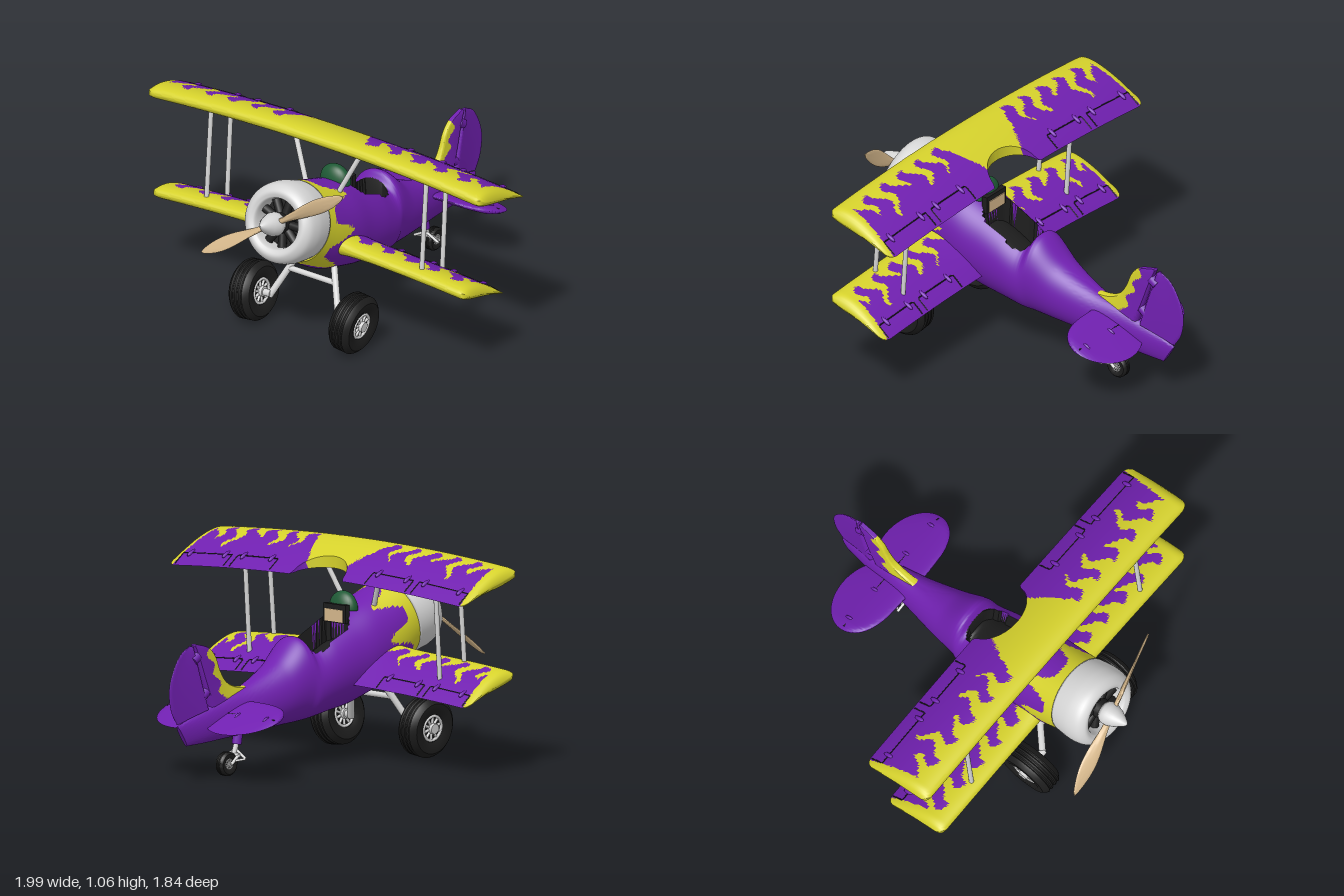
import * as THREE from 'three';
import { toCreasedNormals } from 'three/addons/utils/BufferGeometryUtils.js';

const material = (name, color) => Object.assign(new THREE.MeshStandardMaterial({ color }), { name });
const V = (x, y, z) => new THREE.Vector3(x, y, z);
const { lerp, clamp } = THREE.MathUtils;

// Closed surface from cross-section rings, with fan caps, always facing outward
function loft(nu, nv, point) {
  const pos = [], idx = [];
  for (let i = 0; i <= nu; i++)
    for (let j = 0; j < nv; j++) pos.push(...point(i / nu, j / nv));
  for (let i = 0; i < nu; i++)
    for (let j = 0; j < nv; j++) {
      const k = (j + 1) % nv, a = i * nv + j, b = i * nv + k, c = a + nv, d = b + nv;
      idx.push(a, b, d, a, d, c);
    }
  for (const end of [0, nu]) {
    const m = [0, 0, 0];
    for (let j = 0; j < nv; j++) for (let q = 0; q < 3; q++) m[q] += pos[(end * nv + j) * 3 + q] / nv;
    const centre = pos.length / 3;
    pos.push(...m);
    for (let j = 0; j < nv; j++) {
      const a = end * nv + j, b = end * nv + (j + 1) % nv;
      idx.push(centre, ...(end ? [a, b] : [b, a]));
    }
  }
  let volume = 0;
  const at = i => V(pos[i * 3], pos[i * 3 + 1], pos[i * 3 + 2]);
  for (let i = 0; i < idx.length; i += 3) volume += at(idx[i]).dot(at(idx[i + 1]).cross(at(idx[i + 2])));
  if (volume < 0) idx.reverse();
  const g = new THREE.BufferGeometry();
  g.setAttribute('position', new THREE.Float32BufferAttribute(pos, 3));
  g.setIndex(idx);
  return toCreasedNormals(g, 0.75);
}

// Sort triangles into material groups by a rule on their centre
function paint(g, count, rule) {
  const p = g.attributes.position.array, n = g.attributes.normal.array;
  const bins = Array.from({ length: count }, () => ({ p: [], n: [] }));
  for (let i = 0; i < p.length; i += 9) {
    const bin = bins[rule(...[0, 1, 2].map(q => (p[i + q] + p[i + 3 + q] + p[i + 6 + q]) / 3))];
    for (let q = i; q < i + 9; q++) { bin.p.push(p[q]); bin.n.push(n[q]); }
  }
  const out = new THREE.BufferGeometry();
  out.setAttribute('position', new THREE.Float32BufferAttribute(bins.flatMap(b => b.p), 3));
  out.setAttribute('normal', new THREE.Float32BufferAttribute(bins.flatMap(b => b.n), 3));
  let start = 0;
  bins.forEach((b, i) => { out.addGroup(start, b.p.length / 3, i); start += b.p.length / 3; });
  return out;
}

const foil = t => 10 * (0.2969 * Math.sqrt(t) - 0.126 * t - 0.3516 * t * t + 0.2843 * t ** 3 - 0.1036 * t ** 4);
const ring = v => ({ t: (1 + Math.cos(v * 2 * Math.PI)) / 2, side: v <= 0.5 ? 1 : -1 });
const lathe = (pts, seg = 48) => new THREE.LatheGeometry(pts.map(p => new THREE.Vector2(...p)), seg);

export function createModel() {
  const purple = material('purple paint', 0x7020b0), yellow = material('yellow paint', 0xd6d22c);
  const silver = material('silver', 0xd6d6d6), black = material('black rubber', 0x1d1d1d);
  const wood = material('wood', 0xd6b88c), green = material('green glass', 0x1f5a36);
  const model = new THREE.Group();
  model.name = 'biplane';
  const add = (name, geo, mat, parent = model) => {
    const m = new THREE.Mesh(geo, mat);
    m.name = name;
    parent.add(m);
    return m;
  };
  const rod = (name, a, b, r, mat = silver, parent = model) => {
    const m = add(name, new THREE.CylinderGeometry(r, r, a.distanceTo(b), 14), mat, parent);
    m.position.copy(a).lerp(b, 0.5);
    m.quaternion.setFromUnitVectors(V(0, 1, 0), b.clone().sub(a).normalize());
    return m;
  };
  const group = (name, parent = model) => {
    const g = new THREE.Group();
    g.name = name;
    parent.add(g);
    return g;
  };

  // Fuselage: top z, top y, bottom z, bottom y, half width at each station
  const stations = [
    [0.565, 0.84, 0.68, 0.46, 0.192], [0.45, 0.795, 0.52, 0.355, 0.2], [0.34, 0.755, 0.36, 0.3, 0.2],
    [0.23, 0.705, 0.25, 0.268, 0.19], [0.1, 0.645, 0.1, 0.245, 0.18], [-0.015, 0.59, -0.015, 0.226, 0.165],
    [-0.06, 0.635, -0.06, 0.22, 0.153], [-0.2, 0.525, -0.2, 0.212, 0.125], [-0.385, 0.437, -0.385, 0.198, 0.085],
    [-0.55, 0.392, -0.55, 0.188, 0.055], [-0.7, 0.34, -0.68, 0.18, 0.035], [-0.865, 0.28, -0.8, 0.177, 0.012]];
  const topLine = new THREE.CatmullRomCurve3(stations.map(s => V(s[4], s[1], s[0])));
  const keel = new THREE.CatmullRomCurve3(stations.map(s => V(0, s[3], s[2])));
  const inCockpit = (x, z, grow = 0) => (x / (0.11 + grow)) ** 4 + ((z - 0.115) / (0.14 + grow)) ** 4 < 1;
  const body = loft(130, 80, (u, v) => {
    const a = topLine.getPoint(u), b = keel.getPoint(u), s = Math.sin(v * 2 * Math.PI), c = Math.cos(v * 2 * Math.PI);
    const x = a.x * Math.sign(c) * Math.abs(c) ** 0.9, h = (s + 1) / 2, z = lerp(b.z, a.z, h);
    return [x, lerp(b.y, a.y, h) - (s > 0 && inCockpit(x, z) ? 0.13 : 0), z];
  });
  add('fuselage', paint(body, 3, (x, y, z) => {
    if (y > 0.42 && inCockpit(x, z, 0.004)) return 2;
    const back = -((z - 0.62) * 0.955 + (y - 0.654) * 0.296), angle = Math.atan2(y - 0.6, Math.abs(x));
    const tongue = (0.5 + 0.5 * Math.cos(angle * 6.5 - 0.6 + back * 6)) ** 2;
    return back < 0.055 + 0.16 * tongue ? 1 : 0;
  }), [purple, yellow, black]);
  const shield = add('windshield', new THREE.SphereGeometry(1, 28, 14, 0, 6.2832, 0, 1.65), green);
  shield.scale.set(0.085, 0.085, 0.05);
  shield.position.set(0, 0.735, 0.295);
  add('instrumentPanel', new THREE.BoxGeometry(0.15, 0.09, 0.03), black).position.set(0, 0.715, 0.245);
  add('panelFace', new THREE.BoxGeometry(0.12, 0.06, 0.006), wood).position.set(0, 0.705, 0.228);

  // Wings with flame paint, control-surface gaps and hinges
  const wings = [
    { name: 'upperWing', half: 0.995, le: 0.485, te: 0.1, y: 1.03, slope: 0.325, thick: 0.044, cut: 0.13, root: 0 },
    { name: 'lowerWing', half: 0.935, le: 0.53, te: 0.185, y: 0.515, slope: 0.37, thick: 0.04, cut: 0, root: 0.9 }];
  for (const w of wings) {
    const surface = (x, t, side) => {
      const e = clamp((Math.abs(x) - w.half + 0.05) / 0.05, 0, 1), k = Math.sqrt(1 - e * e), inset = 0.035 * (1 - k);
      const scoop = w.cut * Math.sqrt(Math.max(0, 1 - (x / 0.17) ** 2));
      const z = lerp(w.le - inset, w.te + inset + scoop, t), f = (w.le - z) / (w.le - w.te);
      const h = w.thick * Math.max(k, 0.15) * (1 + w.root * Math.exp(-((x / 0.2) ** 2)));
      return [x, w.y - w.slope * (w.le - z) - 0.045 * x * x + 0.08 * f * (1 - f) + side * h * foil(clamp(f, 0, 1)), z];
    };
    const g = loft(200, 64, (u, v) => {
      const { t, side } = ring(v);
      return surface((u * 2 - 1) * w.half, t, side);
    });
    add(w.name, paint(g, 2, (x, y, z) => {
      const ax = Math.abs(x), t = (w.le - z) / (w.le - w.te);
      if (ax > w.half - 0.03 - 0.05 * (1 - t)) return 1;
      if (w.cut && ax < 0.17 + 0.05 * Math.sin(t * 5)) return 1;
      const upper = y > w.y - w.slope * (w.le - z) - 0.045 * x * x + 0.08 * t * (1 - t);
      const s = ax + 0.025 * Math.sin(t * 17);
      const tongue = (0.5 + 0.5 * Math.cos((s - 0.46) * 2 * Math.PI / 0.135)) ** 1.6 * (0.75 + 0.25 * Math.sin(ax * 19));
      return t < (upper ? 0.2 + 0.5 * tongue : 0.16 + 0.2 * tongue) ? 1 : 0;
    }), [purple, yellow]);
    for (const s of [-1, 1]) for (const side of [-1, 1]) {
      for (const [x1, x2] of [[0.32, 0.59], [0.63, w.half - 0.04]]) {
        const path = new THREE.CurvePath();
        const pts = [[x1, 0.98], [x1, 0.81], [x2, 0.81], [x2, 0.98]].map(([x, t]) => V(...surface(s * x, t, side)));
        for (let i = 0; i < 3; i++) path.add(new THREE.LineCurve3(pts[i], pts[i + 1]));
        add('controlGap', new THREE.TubeGeometry(path, 30, 0.0035, 5), black);
      }
      for (const x of [0.36, 0.55, 0.67, w.half - 0.09]) {
        const hinge = add('hinge', new THREE.SphereGeometry(1, 12, 8), purple);
        hinge.scale.set(0.011, 0.011, 0.032);
        hinge.rotation.x = -0.4;
        hinge.position.set(...surface(s * x, 0.81, side));
      }
    }
  }

  // Fin and rudder, each spanned between two edge curves given as z, y
  const vertical = (name, front, rear, thick, mats, rule) => {
    const [F, A] = [front, rear].map(c => new THREE.CatmullRomCurve3(c.map(([z, y]) => V(0, y, z))));
    const g = loft(50, 48, (u, v) => {
      const { t, side } = ring(v), p = F.getPoint(u).lerp(A.getPoint(u), t);
      return [side * lerp(thick[0], thick[1], Math.sin(t * Math.PI / 2)) * lerp(1, 0.5, u) * Math.min(1, 4 * Math.sqrt(t * (1 - t)) + 0.05), p.y, p.z];
    });
    add(name, paint(g, mats.length, rule), mats);
  };
  vertical('fin', [[-0.38, 0.43], [-0.46, 0.435], [-0.53, 0.465], [-0.57, 0.52], [-0.605, 0.6], [-0.65, 0.645], [-0.745, 0.672]],
    [[-0.648, 0.35], [-0.7, 0.506], [-0.752, 0.664]], [0.02, 0.03], [purple, yellow],
    (x, y, z) => z > -0.56 - (y - 0.38) * 0.42 + 0.018 * Math.sin(y * 70) ? 1 : 0);
  vertical('rudder', [[-0.661, 0.348], [-0.71, 0.505], [-0.764, 0.66]],
    [[-0.865, 0.288], [-0.905, 0.355], [-0.92, 0.455], [-0.9, 0.535], [-0.845, 0.625], [-0.78, 0.665]], [0.03, 0.007], [purple], () => 0);
  for (const y of [0.42, 0.6]) rod('rudderHinge', V(0, y - 0.012, -0.675 - (y - 0.355) * 0.34), V(0, y + 0.012, -0.64 - (y - 0.355) * 0.34), 0.026, purple);

  // Horizontal tail
  const tailY = z => 0.36 + (z + 0.4) * 0.36;
  add('tailplane', loft(90, 40, (u, v) => {
    const x = -0.378 * Math.cos(u * Math.PI), ax = Math.abs(x), { t, side } = ring(v);
    const le = -0.56 + 0.15 * Math.sqrt(Math.max(0, 1 - (ax / 0.378) ** 4));
    const te = -0.56 - 0.165 * Math.sqrt(Math.max(0, 1 - ((ax - 0.165) / 0.213) ** 2));
    const z = lerp(le, te, t);
    return [x, tailY(z) + side * 0.02 * foil(t) * Math.min(1, (le - te) / 0.2), z];
  }), purple);
  for (const s of [-1, 1]) {
    for (const side of [-1, 1]) rod('elevatorGap', V(s * 0.05, tailY(-0.56) + side * 0.015, -0.56), V(s * 0.36, tailY(-0.56) + side * 0.012, -0.56), 0.0035, black);
    for (const x of [0.12, 0.31]) {
      const hinge = add('elevatorHinge', new THREE.SphereGeometry(1, 12, 8), purple);
      hinge.scale.set(0.011, 0.024, 0.032);
      hinge.rotation.x = -0.35;
      hinge.position.set(s * x, tailY(-0.56), -0.56);
    }
  }

  // Nose: cowl, radial engine, spinner and propeller on the tilted thrust line
  const nose = group('nose');
  nose.position.set(0, 0.654, 0.62);
  nose.rotation.x = -0.302;
  const forward = g => g.rotateX(Math.PI / 2);
  const cowlCurve = new THREE.SplineCurve([[0.197, 0], [0.204, 0.06], [0.205, 0.11], [0.194, 0.16], [0.165, 0.188], [0.14, 0.186], [0.124, 0.165], [0.122, 0.07]].map(p => new THREE.Vector2(...p)));
  const cowl = cowlCurve.getPoints(32).map(p => [p.x, p.y]);
  add('cowl', forward(lathe([[0.15, 0], ...cowl], 64)), silver, nose).material.side = THREE.DoubleSide;
  add('engineBack', forward(new THREE.CylinderGeometry(0.124, 0.124, 0.08, 40)), black, nose).position.z = 0.05;
  add('crankcase', forward(new THREE.CylinderGeometry(0.045, 0.06, 0.1, 24)), black, nose).position.z = 0.13;
  for (let i = 0; i < 9; i++) {
    const a = i * Math.PI * 2 / 9;
    rod('engineCylinder', V(0, 0, 0.12), V(0.12 * Math.cos(a), 0.12 * Math.sin(a), 0.12), 0.022, black, nose);
  }
  add('spinner', forward(lathe([[0, 0.17], [0.052, 0.17], [0.06, 0.19], [0.058, 0.215], [0.046, 0.25], [0.027, 0.285], [0.012, 0.308], [0, 0.317]], 32)), silver, nose);
  const propeller = group('propeller', nose);
  propeller.position.z = 0.212;
  propeller.rotation.z = 0.585;
  const blade = loft(40, 24, (u, v) => {
    const r = 0.02 + 0.423 * u, a = v * 2 * Math.PI, twist = lerp(0.9, 0.3, u);
    const w = (0.015 + 0.027 * Math.sin(Math.PI * Math.min(1, u * 0.78)) ** 2) * Math.sqrt(Math.max(0, 1 - u ** 6));
    const c = w * Math.cos(a), d = lerp(0.012, 0.004, u) * Math.sin(a);
    return [r, c * Math.cos(twist) - d * Math.sin(twist), c * Math.sin(twist) + d * Math.cos(twist)];
  });
  for (const turn of [0, Math.PI]) add('propellerBlade', blade, wood, propeller).rotation.z = turn;

  // Wheels: tyre with tread grooves, hub ring and spokes; axle along x
  const wheel = (name, R, half) => {
    const g = group(name), tyre = [[0.45, -0.75], [0.62, -0.95], [0.82, -0.95], [0.94, -0.7]];
    for (const q of [-0.4, 0, 0.4]) tyre.push([0.985, q - 0.13], [0.95, q - 0.05], [0.95, q + 0.05], [0.985, q + 0.13]);
    tyre.push([0.94, 0.7], [0.82, 0.95], [0.62, 0.95], [0.45, 0.75]);
    add('tyre', toCreasedNormals(lathe(tyre.map(([r, y]) => [r * R, y * half]), 48).rotateZ(Math.PI / 2), 0.7), black, g);
    add('wheelDisc', new THREE.CylinderGeometry(R * 0.46, R * 0.46, half * 1.2, 32).rotateZ(Math.PI / 2), black, g);
    add('hub', new THREE.CylinderGeometry(R * 0.17, R * 0.17, half * 2, 20).rotateZ(Math.PI / 2), silver, g);
    for (const s of [-1, 1]) {
      add('hubRing', new THREE.TorusGeometry(R * 0.4, R * 0.05, 8, 32).rotateY(Math.PI / 2), silver, g).position.x = s * half * 0.7;
      for (let i = 0; i < 10; i++) {
        const a = i * Math.PI / 5, x = s * half * 0.65;
        rod('spoke', V(x, 0, 0), V(x, R * 0.4 * Math.cos(a), R * 0.4 * Math.sin(a)), R * 0.045, silver, g);
      }
    }
    return g;
  };

  // Paired struts and main landing gear
  for (const s of [-1, 1]) {
    rod('frontWingStrut', V(s * 0.64, 0.99, 0.435), V(s * 0.64, 0.5, 0.475), 0.012);
    rod('rearWingStrut', V(s * 0.64, 0.91, 0.272), V(s * 0.64, 0.42, 0.305), 0.012);
    rod('cabaneStrut', V(s * 0.2, 0.97, 0.355), V(s * 0.1, 0.75, 0.405), 0.013);
    rod('gearLeg', V(s * 0.1, 0.38, 0.45), V(s * 0.205, 0.15, 0.56), 0.017);
    rod('axle', V(s * 0.195, 0.165, 0.56), V(s * 0.297, 0.157, 0.56), 0.018);
    const w = wheel('mainWheel', 0.152, 0.064);
    w.position.set(s * 0.297, 0.157, 0.56);
    w.rotation.z = -s * 0.11;
    // Tail wheel fork and steering horns
    rod('tailFork', V(s * 0.032, 0.1, -0.47), V(s * 0.032, 0.06, -0.52), 0.008);
    rod('steeringHorn', V(0, 0.125, -0.455), V(s * 0.07, 0.085, -0.46), 0.007);
    rod('hornBrace', V(s * 0.07, 0.085, -0.46), V(s * 0.03, 0.075, -0.5), 0.006);
  }
  rod('gearCrossbar', V(-0.14, 0.295, 0.49), V(0.14, 0.295, 0.49), 0.015);
  rod('tailPost', V(0, 0.21, -0.44), V(0, 0.15, -0.45), 0.024, purple);
  rod('tailLeg', V(0, 0.16, -0.45), V(0, 0.1, -0.47), 0.013);
  rod('forkBridge', V(-0.036, 0.1, -0.47), V(0.036, 0.1, -0.47), 0.01);
  wheel('tailWheel', 0.06, 0.026).position.set(0, 0.061, -0.52);
  return model;
}
